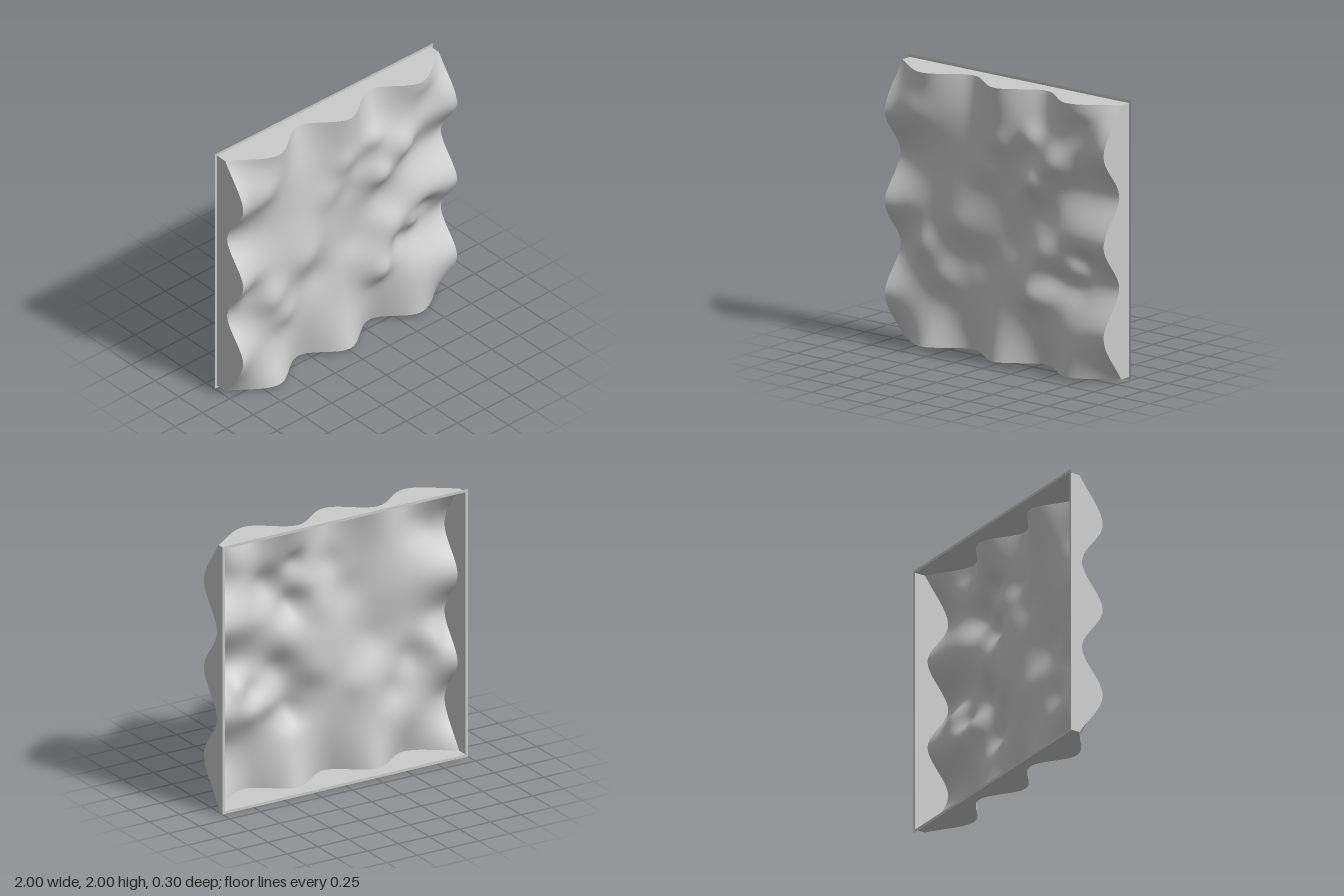
import * as THREE from 'three';

const HALF = 0.98;    // half width of the relief
const BACK = -0.155;  // plane of the rear rim
const SEG = 96;

// Relief heights on a coarse lattice, top row first, left to right in x
const LATTICE = [
  [-0.07, 0.12, -0.05, 0.12, -0.05, 0.12, -0.07],
  [0.12, 0.07, 0.02, 0.08, 0.04, 0.08, 0.12],
  [-0.05, 0.02, 0.05, 0.03, 0.08, 0.0, -0.05],
  [0.12, 0.06, 0.08, 0.0, 0.04, 0.1, 0.12],
  [-0.05, 0.06, 0.01, 0.02, 0.11, 0.01, -0.05],
  [0.12, 0.03, 0.0, 0.05, 0.03, 0.1, 0.12],
  [-0.07, 0.12, -0.05, 0.12, -0.05, 0.12, -0.07],
];

// Local bumps and dents: x, y, height, radius
const BUMPS = [
  [0.51, 1.51, 0.095, 0.14], [0.31, 1.35, 0.05, 0.1], [0.36, 1.13, -0.035, 0.13],
  [0.28, 1.66, 0.045, 0.09], [0.17, 1.47, -0.03, 0.11], [-0.13, 1.36, 0.035, 0.14],
  [-0.01, 1.58, 0.03, 0.11], [0.09, 1.3, -0.02, 0.11],
  [-0.74, 1.69, 0.04, 0.14], [0.75, 1.76, -0.04, 0.14],
  [-0.37, 0.92, 0.025, 0.13], [-0.2, 0.68, -0.02, 0.12],
  [-0.52, 0.52, 0.04, 0.12], [-0.68, 0.74, 0.045, 0.12], [-0.85, 0.84, -0.035, 0.12],
  [0.3, 0.53, 0.055, 0.11], [0.42, 0.88, 0.055, 0.13], [0.14, 0.82, -0.03, 0.13],
  [0.5, 0.67, -0.045, 0.11], [0.75, 0.84, -0.05, 0.1],
  [0.64, 0.77, 0.045, 0.09], [0.67, 0.62, -0.02, 0.1],
];

// Catmull-Rom through evenly spaced values, straight at both ends
function spline(v, t) {
  const n = v.length - 1;
  const f = THREE.MathUtils.clamp(t, 0, 1) * n;
  const i = Math.min(Math.floor(f), n - 1), u = f - i;
  const b = v[i], c = v[i + 1];
  const a = i > 0 ? v[i - 1] : 2 * b - c;
  const d = i < n - 1 ? v[i + 2] : 2 * c - b;
  return b + 0.5 * u * (c - a + u * (2 * a - 5 * b + 4 * c - d + u * (3 * (b - c) + d - a)));
}

function height(x, y) {
  const s = (x + HALF) / (2 * HALF), t = (1 + HALF - y) / (2 * HALF);
  let z = spline(LATTICE.map(row => spline(row, s)), t);
  // bumps fade out so the border keeps its repeating wave
  const edge = Math.min(HALF - Math.abs(x), HALF - Math.abs(y - 1));
  const fade = THREE.MathUtils.smoothstep(edge, 0, 0.15);
  for (const [bx, by, h, r] of BUMPS) {
    z += fade * h * Math.exp(-((x - bx) ** 2 + (y - by) ** 2) / (r * r));
  }
  return z;
}

export function createModel() {
  const group = new THREE.Group();
  group.name = 'wavyPanel';
  const material = new THREE.MeshStandardMaterial({ color: 0xcccccc, side: THREE.DoubleSide });
  const add = (geometry, name) => {
    const mesh = new THREE.Mesh(geometry, material);
    mesh.name = name;
    group.add(mesh);
  };

  // Rippled front skin
  const skin = new THREE.PlaneGeometry(2 * HALF, 2 * HALF, SEG, SEG).translate(0, 1, 0);
  const p = skin.attributes.position;
  for (let i = 0; i < p.count; i++) p.setZ(i, height(p.getX(i), p.getY(i)));
  skin.computeVertexNormals();
  add(skin, 'rippledFace');

  // Four side walls, from the wavy border back to the rim
  const sides = [['topWall', 0, 1], ['leftWall', 1, 0], ['bottomWall', 0, -1], ['rightWall', -1, 0]];
  for (const [name, nx, ny] of sides) {
    const wall = new THREE.PlaneGeometry(2 * HALF, 1, SEG, 1);
    const w = wall.attributes.position;
    for (let i = 0; i < w.count; i++) {
      const along = w.getX(i), front = w.getY(i) > 0;
      const x = nx * HALF - ny * along, y = 1 + ny * HALF + nx * along;
      w.setXYZ(i, x, y, front ? height(x, y) : BACK);
    }
    // reverse the winding so the walls face outward
    const idx = wall.index;
    for (let i = 0; i < idx.count; i += 3) {
      const a = idx.getX(i);
      idx.setX(i, idx.getX(i + 1));
      idx.setX(i + 1, a);
    }
    wall.computeVertexNormals();
    add(wall, name);
  }

  // Thin flat rim around the open back
  const square = r => [[-r, -r], [r, -r], [r, r], [-r, r]].map(([x, y]) => new THREE.Vector2(x, y + 1));
  const rim = new THREE.Shape(square(1));
  rim.holes.push(new THREE.Path(square(HALF)));
  add(new THREE.ShapeGeometry(rim).translate(0, 0, BACK), 'backRim');

  return group;
}
